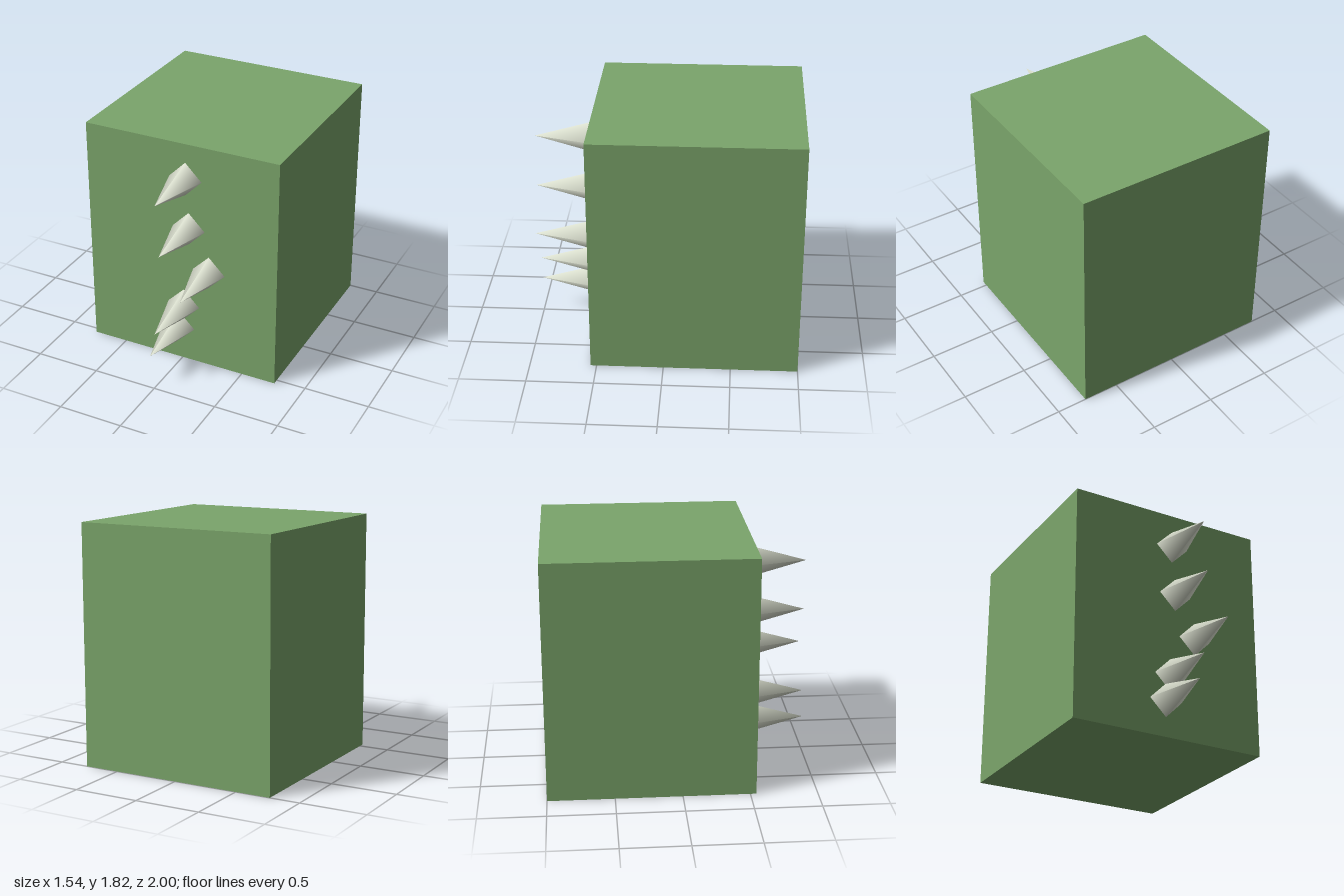
import * as THREE from 'three';

export function createModel() {
  const group = new THREE.Group();
  const green = new THREE.MeshStandardMaterial({ color: 0x7ba56b });
  const ivory = new THREE.MeshStandardMaterial({ color: 0xdfe4d3 });

  // Block body
  const frontZ = 0.545;
  const body = new THREE.Mesh(new THREE.BoxGeometry(1.54, 1.82, 1 + frontZ), green);
  body.name = 'body';
  body.position.set(0, 0.91, (frontZ - 1) / 2);
  group.add(body);

  // Four-sided, smooth-shaded spikes pointing forward from the front face
  const length = 1 - frontZ;
  const spikeGeometry = new THREE.ConeGeometry(0.129, length, 4);
  spikeGeometry.rotateX(Math.PI / 2);
  spikeGeometry.translate(0, 0, length / 2);

  const spikes = new THREE.Group();
  spikes.name = 'spikes';
  const centres = [[0.04, 1.545], [0.063, 1.145], [0.225, 0.816], [0.015, 0.484], [-0.028, 0.28]];
  centres.forEach(([x, y], i) => {
    const spike = new THREE.Mesh(spikeGeometry, ivory);
    spike.name = `spike${i + 1}`;
    spike.position.set(x, y, frontZ);
    spikes.add(spike);
  });
  group.add(spikes);

  return group;
}
